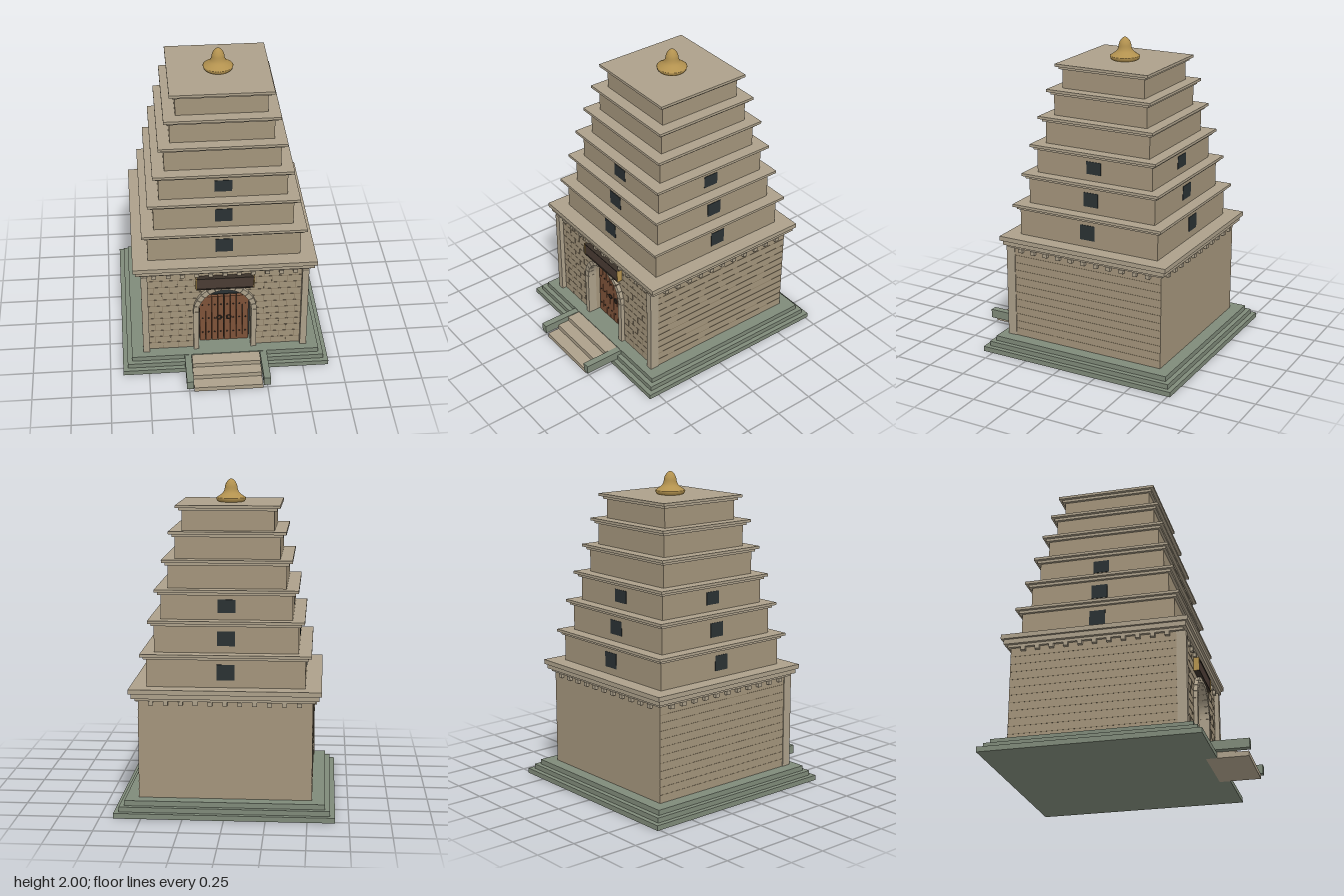
import * as THREE from 'three';

const mat = (color, side = THREE.FrontSide) => new THREE.MeshStandardMaterial({ color, side });
const M = {
  wall: mat(0xa3947b), trim: mat(0xaca08a), joint: mat(0x85775f), base: mat(0x7f8a79),
  dark: mat(0x2a3133), wood: mat(0x7d5238), woodDark: mat(0x4a3b33), iron: mat(0x3a3129),
  gold: mat(0xb3924f, THREE.DoubleSide),
};
const CZ = -0.1;      // centre of the tower in z
const FLOOR = 0.095;  // top of the plinth
const FRONT = 0.43;   // plane of the front wall
const SPRING = 0.4;   // height where the arch starts

function add(parent, name, geometry, material, x = 0, y = 0, z = 0) {
  const mesh = new THREE.Mesh(geometry, material);
  mesh.name = name;
  mesh.position.set(x, y, z);
  parent.add(mesh);
  return mesh;
}

// Box given by its limits on each axis
function box(parent, name, material, [x0, x1], [y0, y1], [z0, z1]) {
  return add(parent, name, new THREE.BoxGeometry(x1 - x0, y1 - y0, z1 - z0), material,
    (x0 + x1) / 2, (y0 + y1) / 2, (z0 + z1) / 2);
}

// Square slab centred on the tower axis
const slab = (parent, name, material, half, y0, y1) =>
  box(parent, name, material, [-half, half], [y0, y1], [CZ - half, CZ + half]);

function group(parent, name) {
  const g = new THREE.Group();
  g.name = name;
  parent.add(g);
  return g;
}

function createPlinth(root) {
  const g = group(root, 'plinth');
  [[0.667, 0, 0.032], [0.637, 0.032, 0.063], [0.607, 0.063, FLOOR]]
    .forEach(([h, y0, y1]) => slab(g, 'plinthStep', M.base, h, y0, y1));
  const stairs = group(root, 'stairs');
  [[0.595, 0.09], [0.675, 0.06], [0.757, 0.03]].forEach(([z, y], i) =>
    box(stairs, 'stairTread', M.trim, [-0.22, 0.22], [0, y], [i ? 0.5 : 0.505, z]));
  for (const s of [-1, 1])
    add(stairs, 'stairCheek', new THREE.BoxGeometry(0.044, 0.057, 0.27), M.base, s * 0.245, 0.064, 0.635);
}

function createBody(root) {
  const g = group(root, 'groundStorey');
  box(g, 'bodyCore', M.wall, [-0.527, 0.527], [FLOOR, 0.7], [-0.63, 0.33]);

  // Front wall with the arched doorway cut out
  const s = new THREE.Shape();
  s.moveTo(-0.527, FLOOR);
  s.lineTo(-0.17, FLOOR);
  s.lineTo(-0.17, SPRING);
  s.absarc(0, SPRING, 0.17, Math.PI, 0, true);
  s.lineTo(0.17, FLOOR);
  s.lineTo(0.527, FLOOR);
  s.lineTo(0.527, 0.7);
  s.lineTo(-0.527, 0.7);
  add(g, 'frontWall', new THREE.ExtrudeGeometry(s, { depth: FRONT - 0.33, bevelEnabled: false, curveSegments: 24 }),
    M.wall, 0, 0, 0.33);

  for (const side of [-1, 1])
    add(g, 'cornerPilaster', new THREE.BoxGeometry(0.042, 0.605, 0.06), M.trim, side * 0.511, 0.3975, 0.43);

  // Masonry joints: staggered on the front, plain courses on both sides
  const joints = group(g, 'masonryJoints');
  const inner = y => y < SPRING ? 0.205 : Math.sqrt(Math.max(0, 0.205 ** 2 - (y - SPRING) ** 2));
  for (let k = 0; k < 12; k++) {
    const y = FLOOR + 0.05 * k;
    for (const side of [-1, 1]) {
      if (k) {
        const x0 = inner(y);
        add(joints, 'frontCourse', new THREE.BoxGeometry(0.49 - x0, 0.003, 0.003), M.joint,
          side * (0.49 + x0) / 2, y, FRONT);
        add(joints, 'sideCourse', new THREE.BoxGeometry(0.003, 0.003, 1.03), M.joint,
          side * 0.527, y, -0.115);
      }
      for (let x = 0.4 + (k % 2) * 0.05; x > inner(y) + 0.02; x -= 0.1)
        add(joints, 'verticalJoint', new THREE.BoxGeometry(0.003, 0.05, 0.003), M.joint,
          side * x, y + 0.025, FRONT);
    }
  }

  // Dentils under the cornice on all four sides
  const dentils = group(g, 'dentils');
  for (let q = 0; q < 4; q++) {
    const row = group(dentils, 'dentilRow');
    row.position.z = CZ;
    row.rotation.y = q * Math.PI / 2;
    for (let i = -5; i <= 5; i++)
      add(row, 'dentil', new THREE.BoxGeometry(0.028, 0.024, 0.03), M.trim, i * 0.0895, 0.688, 0.535);
  }
  [[0.545, 0.7, 0.717], [0.565, 0.717, 0.747], [0.58, 0.747, 0.776]]
    .forEach(([h, y0, y1]) => slab(g, 'mainCornice', M.trim, h, y0, y1));
}

function createDoorway(root) {
  const g = group(root, 'doorway');
  box(g, 'doorRecess', M.dark, [-0.17, 0.17], [FLOOR, 0.57], [0.325, 0.335]);

  // Jambs and arch stones
  for (const s of [-1, 1])
    add(g, 'doorJamb', new THREE.BoxGeometry(0.034, SPRING - FLOOR, 0.06), M.trim,
      s * 0.186, (SPRING + FLOOR) / 2, 0.425);
  const stones = 13, step = Math.PI / stones, gap = 0.008;
  for (let i = 0; i < stones; i++) {
    const a = i * step + gap, b = (i + 1) * step - gap;
    const s = new THREE.Shape();
    s.absarc(0, 0, 0.203, a, b, false);
    s.absarc(0, 0, 0.169, b, a, true);
    add(g, 'archStone', new THREE.ExtrudeGeometry(s, { depth: 0.06, bevelEnabled: false, curveSegments: 3 }),
      M.trim, 0, SPRING, 0.395);
  }

  // Two plank leaves with studs and ring handles
  for (const s of [-1, 1]) {
    const leaf = group(g, 'doorLeaf');
    for (let i = 0; i < 4; i++) {
      const x = s * (0.021 + i * 0.0395);
      add(leaf, 'doorPlank', new THREE.BoxGeometry(0.037, 0.36, 0.02), M.wood, x, 0.275, 0.362);
      for (const y of [0.165, 0.28, 0.39])
        add(leaf, 'doorStud', new THREE.SphereGeometry(0.005, 8, 6), M.iron, x, y, 0.373);
    }
    add(leaf, 'doorBacking', new THREE.BoxGeometry(0.158, 0.36, 0.01), M.iron, s * 0.08, 0.275, 0.35);
    add(leaf, 'ringHandle', new THREE.TorusGeometry(0.015, 0.004, 8, 20), M.iron, s * 0.03, 0.285, 0.377);
  }

  // Blank board above the arch, with a thin frame
  const board = group(g, 'nameBoard');
  box(board, 'boardPanel', M.woodDark, [-0.18, 0.18], [0.592, 0.668], [FRONT, 0.462]);
  for (const s of [-1, 1]) {
    add(board, 'boardRail', new THREE.BoxGeometry(0.37, 0.006, 0.036), M.iron, 0, 0.63 + s * 0.04, 0.449);
    add(board, 'boardStile', new THREE.BoxGeometry(0.006, 0.086, 0.036), M.gold, s * 0.183, 0.63, 0.449);
  }
}

function createTiers(root) {
  // half width of wall, bottom, top, window centre and height
  const tiers = [
    [0.481, 0.776, 0.98, 0.869, 0.096], [0.438, 0.98, 1.177, 1.068, 0.09], [0.4, 1.177, 1.361, 1.26, 0.08],
    [0.36, 1.361, 1.536, 0, 0], [0.321, 1.536, 1.703, 0, 0], [0.282, 1.703, 1.858, 0, 0],
  ];
  for (const [half, y0, y1, wy, wh] of tiers) {
    const g = group(root, 'tier');
    slab(g, 'tierWall', M.wall, half, y0, y1 - 0.034);
    slab(g, 'lowerEave', M.trim, half + 0.017, y1 - 0.034, y1 - 0.017);
    slab(g, 'upperEave', M.trim, half + 0.036, y1 - 0.017, y1);
    for (let q = 0; wh && q < 4; q++) {
      const pivot = group(g, 'windowSide');
      pivot.position.z = CZ;
      pivot.rotation.y = q * Math.PI / 2;
      add(pivot, 'window', new THREE.BoxGeometry(q % 2 ? 0.1 : 0.11, wh, 0.01), M.dark, 0, wy, half - 0.002);
    }
  }
}

function createFinial(root) {
  // Bell-shaped profile over a turned-in foot
  const curve = new THREE.SplineCurve([
    [0.094, 1.882], [0.075, 1.895], [0.052, 1.913], [0.042, 1.933], [0.037, 1.96],
    [0.026, 1.982], [0.012, 1.996], [0, 2],
  ].map(p => new THREE.Vector2(...p)));
  const foot = [[0, 1.857], [0.08, 1.857], [0.09, 1.868]].map(p => new THREE.Vector2(...p));
  add(root, 'finial', new THREE.LatheGeometry([...foot, ...curve.getPoints(24)], 40), M.gold, 0, 0, CZ);
}

export function createModel() {
  const root = new THREE.Group();
  root.name = 'brickPagoda';
  createPlinth(root);
  createBody(root);
  createDoorway(root);
  createTiers(root);
  createFinial(root);
  return root;
}
